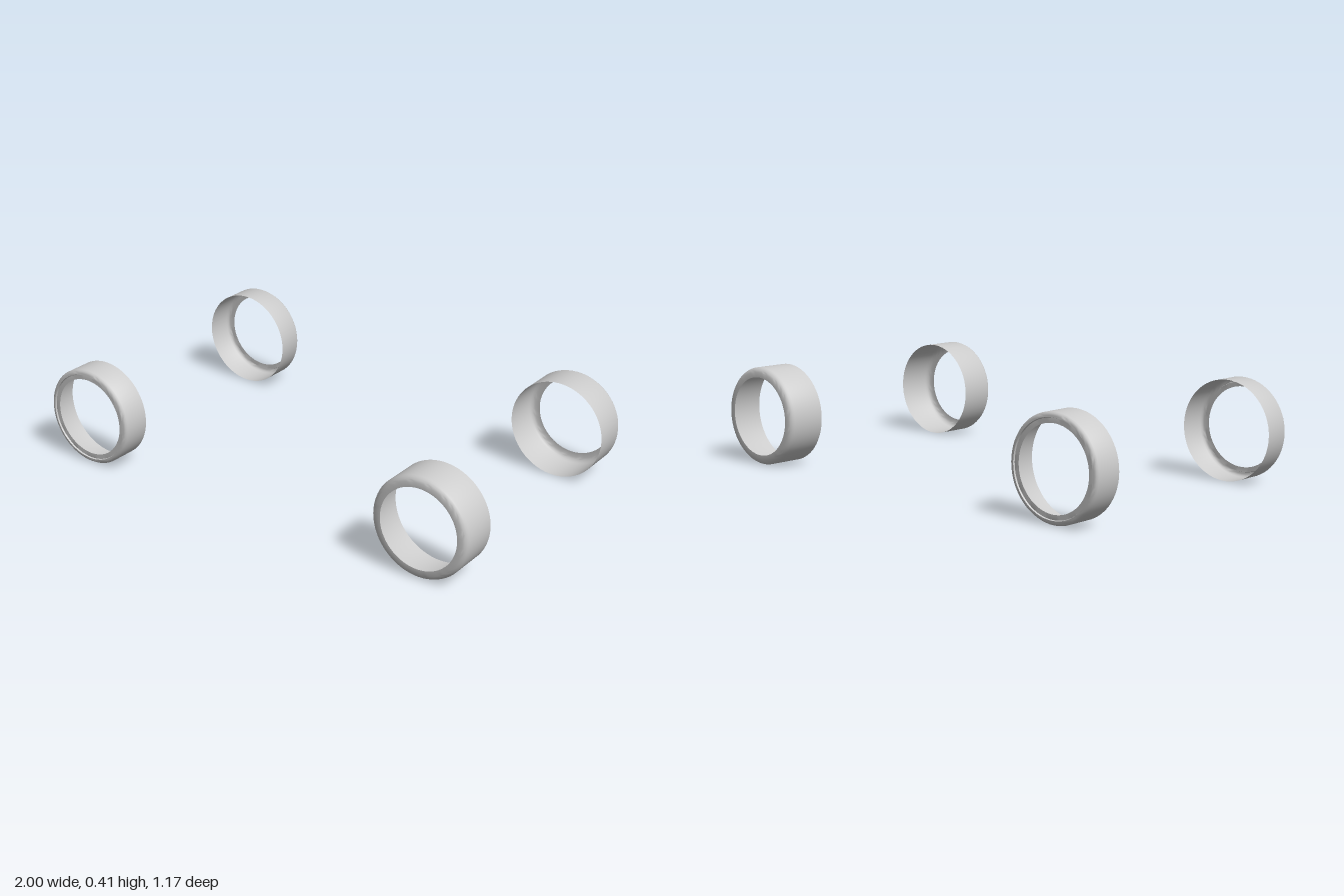
import * as THREE from 'three';
import { toCreasedNormals } from 'three/addons/utils/BufferGeometryUtils.js';

// Open tyre shells: [radius, distance from the car's centre line]
const WIDE = [
  [0.2025, 0.425], [0.2025, 0.568], [0.199, 0.576], [0.192, 0.583],
  [0.184, 0.587], [0.163, 0.587],
];
const NARROW = [
  [0.2025, 0.457], [0.2025, 0.566], [0.198, 0.573], [0.19, 0.578],
  [0.184, 0.578], [0.182, 0.572], [0.163, 0.572],
];

function tyreGeometry(profile) {
  const points = profile.map(([r, d]) => new THREE.Vector2(r, d));
  return toCreasedNormals(new THREE.LatheGeometry(points, 64), 0.6);
}

export function createModel() {
  const model = new THREE.Group();
  model.name = 'tyreSet';
  const material = new THREE.MeshStandardMaterial({ color: 0xcccccc, side: THREE.DoubleSide });

  // Wide pair at +x, narrow pair at -x, sidewalls facing outward
  for (const [profile, x, label] of [[WIDE, 0.7975, 'wideTyre'], [NARROW, -0.7975, 'narrowTyre']]) {
    const geometry = tyreGeometry(profile);
    for (const side of [1, -1]) {
      const tyre = new THREE.Mesh(geometry, material);
      tyre.name = label + (side > 0 ? 'Front' : 'Back');
      tyre.rotation.x = side * Math.PI / 2;
      tyre.position.set(x, 0.2025, 0);
      model.add(tyre);
    }
  }
  return model;
}
